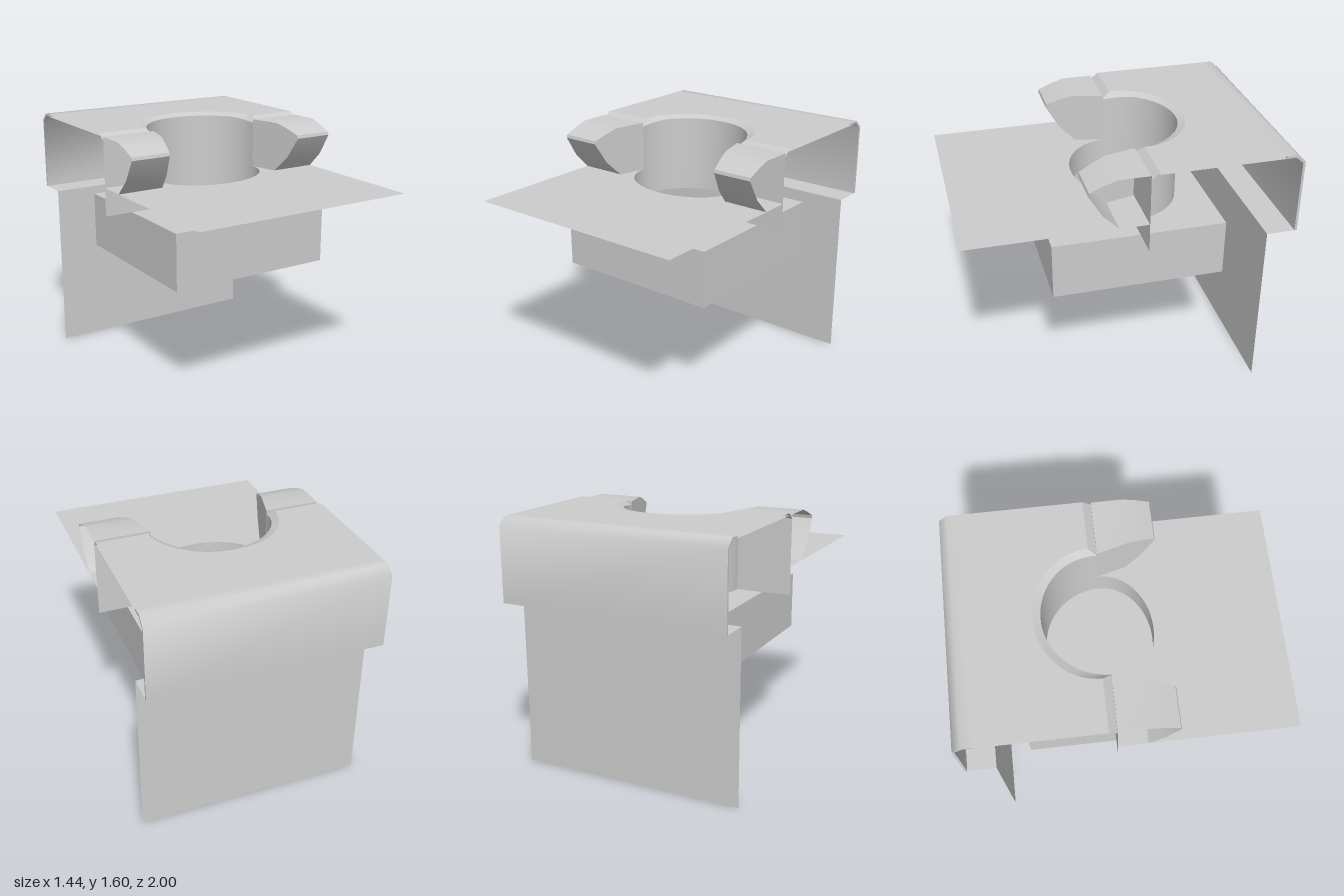
import * as THREE from 'three';
import { toCreasedNormals } from 'three/addons/utils/BufferGeometryUtils.js';

const W = 0.72;            // half width of the whole fixture
const FLOOR = 1.085;       // box top and lower rim level
const DECK = 1.265;        // front deck level
const TOP = 1.595;         // cover top
const FACE = -0.08;        // plane of the front wall
const SEG = 40;

const material = new THREE.MeshStandardMaterial({ color: 0xcccccc, side: THREE.DoubleSide });

// Skin joining rows of [x, y, z] points
function loft(rows, crease = 0.7) {
  const n = rows[0].length, index = [];
  for (let r = 0; r < rows.length - 1; r++) {
    for (let i = 0; i < n - 1; i++) {
      const a = r * n + i, b = a + n;
      index.push(a, a + 1, b, a + 1, b + 1, b);
    }
  }
  const g = new THREE.BufferGeometry();
  g.setAttribute('position', new THREE.Float32BufferAttribute(rows.flat(2), 3));
  g.setIndex(index);
  g.computeVertexNormals();
  return toCreasedNormals(g, crease);
}

// Half ellipse from +x to -x as [x, z]; rz < 0 bulges to the back
function halfEllipse(rx, rz, cz) {
  return Array.from({ length: SEG + 1 }, (_, i) => {
    const t = Math.PI * i / SEG;
    return [rx * Math.cos(t), cz + rz * Math.sin(t)];
  });
}

const toVectors = (pts) => pts.map(([x, z]) => new THREE.Vector2(x, -z));

// Horizontal sheet from an [x, z] outline
function sheet(outline, y, hole) {
  const shape = new THREE.Shape(toVectors(outline));
  if (hole) shape.holes.push(new THREE.Path(toVectors(hole)));
  return new THREE.ShapeGeometry(shape).rotateX(-Math.PI / 2).translate(0, y, 0);
}

export function createModel() {
  const group = new THREE.Group();
  const add = (name, geometry) => {
    const mesh = new THREE.Mesh(geometry, material);
    mesh.name = name;
    group.add(mesh);
  };

  const backArc = halfEllipse(0.375, -0.365, FACE);
  const frontArc = halfEllipse(0.375, 0.3, FACE);
  const lipArc = halfEllipse(0.405, -0.36, -0.13);
  const opening = [...backArc, ...frontArc.slice(1, -1).reverse()];

  // Lower box, open through the round hole in its lid
  const base = [[-0.54, 0.46], [0.54, 0.46], [0.54, -0.62], [-0.54, -0.62]];
  const ring = (y) => [...base, base[0]].map(([x, z]) => [x, y, z]);
  add('boxSides', loft([ring(FLOOR), ring(0.725)]));
  add('boxBottom', sheet(base, 0.725).scale(1, 1, 1));
  add('boxLid', sheet(base, FLOOR, opening));

  // Well: tall back half and low front half
  const wallTop = (i) => 1.556 + 0.02 * Math.min(1, 2 * Math.sin(Math.PI * i / SEG));
  add('wellBack', loft([
    backArc.map(([x, z]) => [x, FLOOR, z]),
    backArc.map(([x, z], i) => [x, wallTop(i), z]),
  ]));
  add('wellFront', loft([
    frontArc.map(([x, z]) => [x, DECK, z]),
    frontArc.map(([x, z]) => [x, FLOOR, z]),
  ]));

  // Front deck, cut out around the well
  add('frontDeck', sheet([[W, FACE], [W, 1], [-W, 1], [-W, FACE], ...[...frontArc].reverse()], DECK));

  // Cover top with its cut-out, and the bevel down to the walls
  const coverOutline = [[W, -0.13], ...lipArc, [-W, -0.13], [-W, -0.88], [W, -0.88]];
  add('coverTop', sheet(coverOutline, TOP));
  add('coverUnderside', sheet(coverOutline, TOP - 0.015));
  add('coverBevel', loft([
    [[W, 1.556, FACE], ...backArc.map(([x, z], i) => [x, wallTop(i), z]), [-W, 1.556, FACE]],
    [[W, TOP, -0.13], ...lipArc.map(([x, z]) => [x, TOP, z]), [-W, TOP, -0.13]],
  ]));

  // Chamfered back of the cover, folding down into a flange
  const flange = [[-0.88, TOP], [-0.945, TOP], [-1, 1.545], [-1, FLOOR],
    [-0.985, FLOOR], [-0.985, 1.54], [-0.94, 1.58], [-0.88, 1.58]];
  const flangeShape = new THREE.Shape(flange.map(([z, y]) => new THREE.Vector2(-z, y)));
  const flangeGeo = new THREE.ExtrudeGeometry(flangeShape, { depth: 2 * W, bevelEnabled: false });
  flangeGeo.translate(0, 0, -W).rotateY(Math.PI / 2);
  add('coverFlange', toCreasedNormals(flangeGeo, 0.9));

  // Back plate and the ledge joining it to the flange
  add('backPlate', new THREE.PlaneGeometry(2 * W, FLOOR).translate(0, FLOOR / 2, -0.81));
  add('backLedge', sheet([[-W, -0.81], [W, -0.81], [W, -1], [-W, -1]], FLOOR));

  // Wall panels and padded lugs either side of the well
  const lug = [[FACE, DECK], [0.1, DECK], [0.2, 1.365], [0.28, 1.5], [0.275, 1.52],
    [0.19, 1.555], [0.11, 1.58], [FACE, 1.58]];
  const innerX = (z) => 0.375 + (z - FACE) * 0.264;
  for (const [side, s] of [['left', 1], ['right', -1]]) {
    const panel = new THREE.PlaneGeometry(W - 0.375, 1.556 - FLOOR);
    add(side + 'WallPanel', panel.translate(s * (W + 0.375) / 2, (1.556 + FLOOR) / 2, FACE));

    const loop = [...lug, lug[0]];
    const rows = [loop.map(([z, y]) => [s * innerX(z), y, z]), loop.map(([z, y]) => [s * W, y, z])];
    add(side + 'Lug', loft(s > 0 ? rows : rows.reverse()));

    const cap = new THREE.ShapeGeometry(new THREE.Shape(lug.map(([z, y]) => new THREE.Vector2(z, y))));
    const p = cap.attributes.position;
    for (let i = 0; i < p.count; i++) p.setXYZ(i, s * innerX(p.getX(i)), p.getY(i), p.getX(i));
    if (s < 0) cap.index.array.reverse();
    cap.index.array.reverse();
    cap.computeVertexNormals();
    add(side + 'LugInnerFace', cap);
  }
  return group;
}
